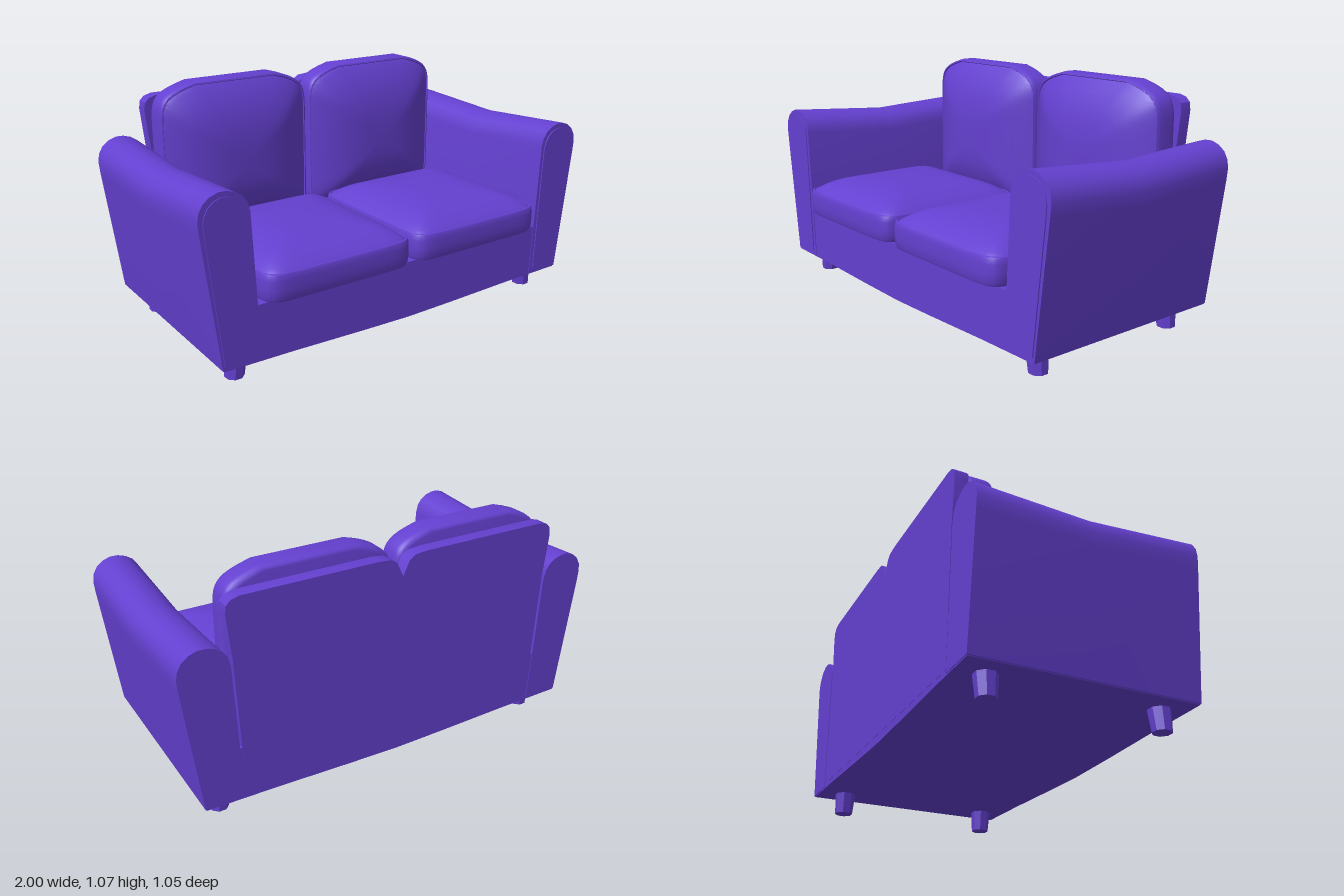
import * as THREE from 'three';
import { toCreasedNormals } from 'three/addons/utils/BufferGeometryUtils.js';

const material = new THREE.MeshStandardMaterial({ color: 0x6440d0 });

function addMesh(parent, name, geometry, crease = 0.6) {
  const mesh = new THREE.Mesh(toCreasedNormals(geometry, crease), material);
  mesh.name = name;
  parent.add(mesh);
  return mesh;
}

function polygon(points) {
  return new THREE.Shape(points.map(([x, y]) => new THREE.Vector2(x, y)));
}

function slab(points, z0, z1, steps = 1) {
  const g = new THREE.ExtrudeGeometry(polygon(points), { depth: z1 - z0, steps, bevelEnabled: false });
  return g.translate(0, 0, z0);
}

// Closed cushion: a rounded outline scaled through [scale, z] rings, ending in a soft dome
function cushionGeometry(halfW, halfH, crown, rim, domeZ, domeHeight, power) {
  const n = 64, outline = [];
  const round = (v) => Math.sign(v) * Math.pow(Math.abs(v), 0.2);
  for (let i = 0; i < n; i++) {
    const a = ((i + 0.5) / n) * Math.PI * 2;
    const u = round(Math.cos(a)), v = round(Math.sin(a));
    const lift = v > 0 ? crown * v * Math.cos(u * Math.PI / 2) : 0;
    outline.push([u * halfW, v * halfH + lift]);
  }
  const rings = [[0.001, rim[0][1]], ...rim];
  for (const s of [0.955, 0.92, 0.87, 0.8, 0.7, 0.58, 0.44, 0.28, 0.12, 0.001]) {
    rings.push([s, domeZ + domeHeight * (1 - Math.pow(s / 0.955, power))]);
  }
  const pos = [], index = [];
  rings.forEach(([s, z], r) => {
    outline.forEach(([x, y], i) => {
      pos.push(x * s, y * s, z);
      if (r === rings.length - 1) return;
      const a = r * n + i, b = r * n + (i + 1) % n;
      index.push(a, b, b + n, a, b + n, a + n);
    });
  });
  const g = new THREE.BufferGeometry();
  g.setAttribute('position', new THREE.Float32BufferAttribute(pos, 3));
  g.setIndex(index);
  g.computeVertexNormals();
  return g;
}

// Arm profile seen from the front, for the +x side
const armProfile = [
  [0.75, 0.105], [0.925, 0.105], [0.995, 0.68], [1.0, 0.735], [0.994, 0.772], [0.975, 0.805],
  [0.945, 0.828], [0.91, 0.84], [0.875, 0.839], [0.84, 0.828], [0.81, 0.808], [0.79, 0.78], [0.78, 0.74],
];

// The roll sinks toward the middle of the arm and rises again at the back
function saddle(g) {
  const p = g.attributes.position;
  for (let i = 0; i < p.count; i++) {
    const z = p.getZ(i), y = p.getY(i);
    const drop = Math.abs(z + 0.025) < 0.1 ? 0.035 : z < 0 ? 0.01 : 0;
    if (y > 0.6) p.setY(i, y - drop);
  }
  return g;
}

export function createModel() {
  const sofa = new THREE.Group();
  sofa.name = 'sofa';

  // Base with a slightly sagging underside
  addMesh(sofa, 'base', slab([
    [-0.92, 0.1], [-0.6, 0.095], [-0.25, 0.085], [0, 0.08], [0.25, 0.085], [0.6, 0.095], [0.92, 0.1],
    [0.925, 0.12], [0.79, 0.345], [-0.79, 0.345], [-0.925, 0.12],
  ], -0.527, 0.473), 0.3);

  // Back board with rounded shoulders and a notch in the middle
  const half = [[0.03, 0.985], [0.06, 1.005], [0.12, 1.01], [0.73, 1.01], [0.765, 1.0], [0.785, 0.98],
    [0.79, 0.945], [0.77, 0.75], [0.74, 0.12]];
  const board = [[0, 0.92], ...half, ...half.map(([x, y]) => [-x, y]).reverse()];
  addMesh(sofa, 'backBoard', slab(board, -0.528, -0.467));

  for (const side of [1, -1]) {
    const label = side > 0 ? 'left' : 'right';
    const mirror = (pts) => pts.map(([x, y]) => [x * side, y]);

    // Arm and its raised front panel
    addMesh(sofa, label + 'Arm', saddle(slab(mirror(armProfile), -0.53, 0.476, 2)));
    const panel = armProfile.map(([x, y]) => [0.875 + (x - 0.875) * 0.84, 0.48 + (y - 0.48) * 0.94]);
    addMesh(sofa, label + 'ArmPanel', slab(mirror(panel), 0.47, 0.481));

    // Seat cushion
    const seat = cushionGeometry(0.368, 0.385, 0, [
      [0.95, 0.345], [0.98, 0.35], [0.995, 0.365], [1, 0.4], [1, 0.44],
      [0.995, 0.457], [0.985, 0.468], [0.97, 0.47], [0.962, 0.465],
    ], 0.468, 0.072, 4);
    seat.rotateX(-Math.PI / 2);
    addMesh(sofa, label + 'SeatCushion', seat).position.set(side * 0.374, 0, 0.14);

    // Back cushion with a crowned top
    const back = cushionGeometry(0.38, 0.335, 0.08, [
      [0.95, -0.464], [0.975, -0.46], [0.993, -0.45], [1, -0.43], [1, -0.37],
      [0.995, -0.355], [0.985, -0.346], [0.97, -0.344], [0.962, -0.349],
    ], -0.346, 0.098, 3);
    addMesh(sofa, label + 'BackCushion', back).position.set(side * 0.389, 0.685, 0);

    // Tapered legs, splayed slightly outward
    for (const [name, z] of [['FrontLeg', 0.358], ['BackLeg', -0.402]]) {
      const leg = new THREE.CylinderGeometry(0.051, 0.042, 0.12, 8);
      leg.rotateY(Math.PI / 8);
      const p = leg.attributes.position;
      for (let i = 0; i < p.count; i++) if (p.getY(i) < 0) p.setX(i, p.getX(i) + side * 0.01);
      addMesh(sofa, label + name, leg).position.set(side * 0.808, 0.06, z);
    }
  }
  return sofa;
}
